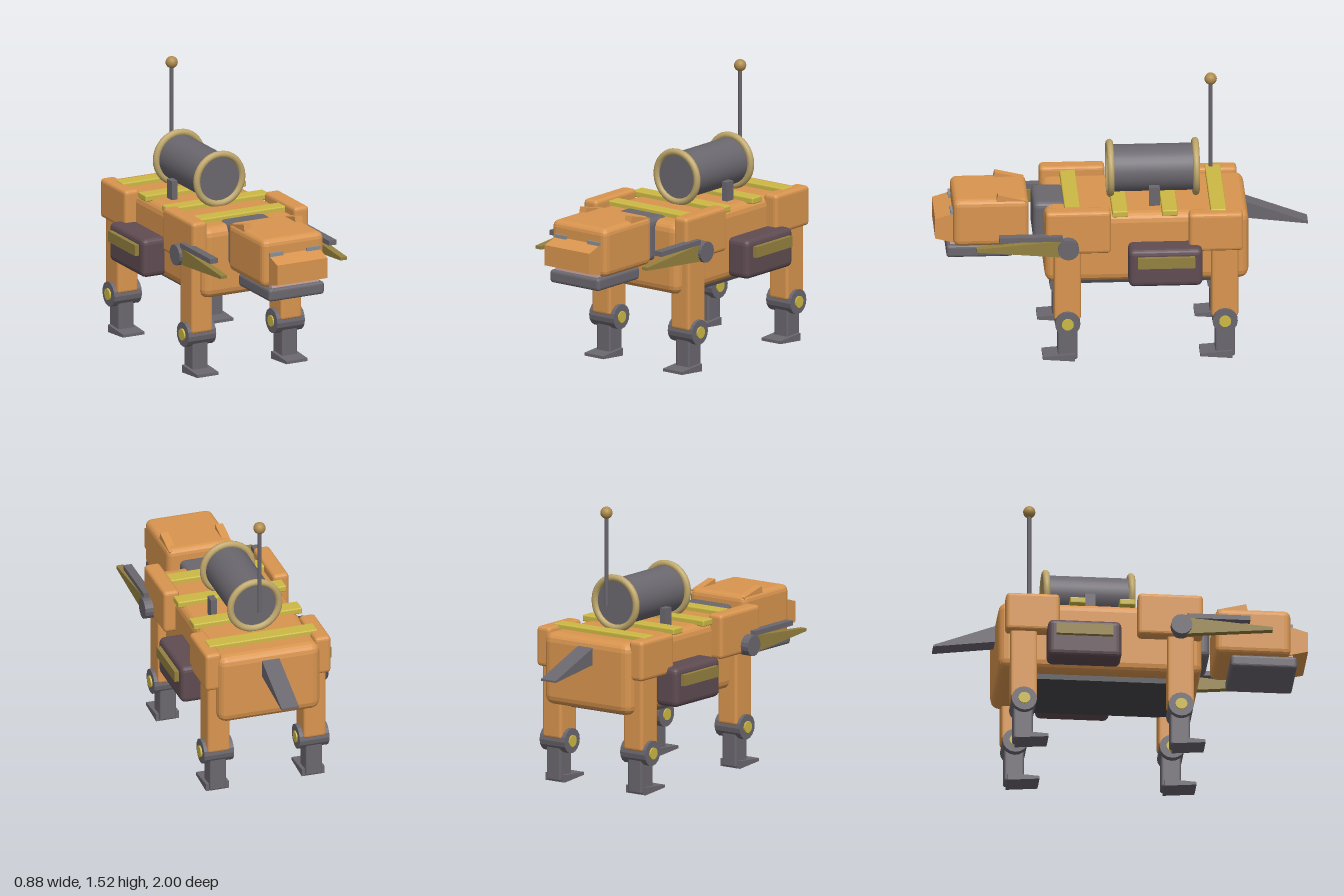
import * as THREE from 'three';
import { RoundedBoxGeometry } from 'three/addons/geometries/RoundedBoxGeometry.js';

const mat = (color, flatShading = false) => new THREE.MeshStandardMaterial({ color, flatShading });
const ORANGE = mat(0xd9954f, true), GREY = mat(0x6a676e, true), DARK = mat(0x48474c, true);
const YELLOW = mat(0xcdb945, true), KHAKI = mat(0x94803f, true), BAG = mat(0x5f4c52, true);
const PINK = mat(0xd0a8a0, true), EYE = mat(0x8a9096, true);
const DRUM = mat(0x6a676e), RING = mat(0xbfa76c), BRASS = mat(0xb08c4e);

export function createModel() {
  const model = new THREE.Group();

  const add = (name, geometry, material, parent = model) => {
    const mesh = new THREE.Mesh(geometry, material);
    mesh.name = name;
    parent.add(mesh);
    return mesh;
  };

  // Box given by its extents; r > 0 bevels the edges
  const box = (name, material, [x0, x1], [y0, y1], [z0, z1], r = 0, parent = model) => {
    const size = [x1 - x0, y1 - y0, z1 - z0];
    const geo = r ? new RoundedBoxGeometry(...size, 2, r) : new THREE.BoxGeometry(...size);
    geo.translate((x0 + x1) / 2, (y0 + y1) / 2, (z0 + z1) / 2);
    return add(name, geo, material, parent);
  };

  // Box whose height range changes from back (z0) to front (z1)
  const wedge = (name, material, [x0, x1], [z0, back], [z1, front], parent = model) => {
    const geo = new THREE.BoxGeometry(x1 - x0, 1, 1);
    const p = geo.attributes.position;
    for (let i = 0; i < p.count; i++) {
      const isFront = p.getZ(i) > 0;
      const [lo, hi] = isFront ? front : back;
      p.setXYZ(i, p.getX(i) + (x0 + x1) / 2, p.getY(i) > 0 ? hi : lo, isFront ? z1 : z0);
    }
    geo.computeVertexNormals();
    return add(name, geo, material, parent);
  };

  // Cylinder lying along x
  const axle = (name, material, r, [x0, x1], y, z, parent = model) => {
    const geo = new THREE.CylinderGeometry(r, r, x1 - x0, 16);
    geo.rotateZ(Math.PI / 2).translate((x0 + x1) / 2, y, z);
    return add(name, geo, material, parent);
  };

  // Torso
  box('body', ORANGE, [-0.288, 0.288], [0.435, 0.83], [-0.67, 0.42], 0.05);
  box('bellyPlate', DARK, [-0.215, 0.215], [0.405, 0.46], [-0.52, 0.27]);
  for (const z of [-0.508, -0.248, 0.018, 0.27])
    box('backStrap', YELLOW, [-0.305, 0.305], [0.82, 0.855], [z - 0.042, z + 0.042], 0.007);
  wedge('tail', GREY, [-0.049, 0.049], [-1, [0.65, 0.66]], [-0.64, [0.695, 0.795]]);

  // Neck and head
  box('neck', GREY, [-0.137, 0.137], [0.61, 0.84], [0.3, 0.475], 0.03);
  box('head', ORANGE, [-0.187, 0.187], [0.615, 0.882], [0.5, 0.905], 0.035);
  wedge('snout', ORANGE, [-0.152, 0.152], [0.86, [0.62, 0.81]], [1, [0.655, 0.767]]);
  box('gum', PINK, [-0.142, 0.142], [0.61, 0.638], [0.66, 0.92]);
  box('jaw', GREY, [-0.168, 0.168], [0.547, 0.617], [0.585, 0.94], 0.016);

  // Drum on the back with end rings
  const drum = new THREE.CylinderGeometry(0.126, 0.126, 0.46, 32);
  add('drum', drum.rotateX(Math.PI / 2), DRUM).position.set(0, 0.978, -0.17);
  for (const z of [0.058, -0.4])
    add('drumRing', new THREE.TorusGeometry(0.137, 0.019, 10, 32), RING).position.set(0, 0.978, z);

  // Antenna
  add('antennaRod', new THREE.CylinderGeometry(0.011, 0.011, 0.49, 10), DRUM).position.set(0, 1.222, -0.482);
  add('antennaBall', new THREE.SphereGeometry(0.033, 16, 12), BRASS).position.set(0, 1.485, -0.482);

  // Mirrored side parts, built for the left (+x) and reflected in x
  for (const [label, s] of [['left', 1], ['right', -1]]) {
    const side = new THREE.Group();
    side.name = label + 'Side';
    side.scale.x = s;
    model.add(side);

    box('eye', EYE, [0.072, 0.152], [0.79, 0.812], [0.88, 0.918], 0, side);
    const ear = box('ear', ORANGE, [-0.022, 0.022], [-0.019, 0.019], [-0.08, 0.08], 0, side);
    ear.position.set(0.155, 0.872, 0.592);
    ear.rotation.x = -0.24;

    box('drumBracket', GREY, [0.145, 0.18], [0.8, 0.935], [-0.2, -0.143], 0, side);
    box('shoulderPanel', ORANGE, [0.263, 0.353], [0.63, 0.873], [0.07, 0.42], 0.02, side);
    box('hipPanel', ORANGE, [0.263, 0.353], [0.63, 0.848], [-0.637, -0.348], 0.02, side);

    // Saddle bag
    box('saddleBag', BAG, [0.27, 0.418], [0.457, 0.672], [-0.417, -0.022], 0.03, side);
    box('bagStripe', KHAKI, [0.4, 0.442], [0.575, 0.635], [-0.375, -0.07], 0, side);

    // Pivoting shoulder blade
    axle('bladePivot', GREY, 0.057, [0.33, 0.4], 0.675, 0.3, side);
    box('bladeBar', GREY, [0.336, 0.382], [0.72, 0.747], [0.33, 0.67], 0, side);
    wedge('blade', KHAKI, [0.344, 0.382], [0.3, [0.625, 0.725]], [0.79, [0.668, 0.685]], side);

    // Legs
    for (const [where, z] of [['front', 0.302], ['rear', -0.54]]) {
      const leg = new THREE.Group();
      leg.name = where + 'Leg';
      leg.position.z = z;
      side.add(leg);
      box('upperLeg', ORANGE, [0.207, 0.333], [0.24, 0.65], [-0.072, 0.072], 0.015, leg);
      axle('knee', GREY, 0.068, [0.185, 0.352], 0.225, 0, leg);
      axle('kneeCap', YELLOW, 0.032, [0.178, 0.361], 0.225, 0, leg);
      box('lowerLeg', GREY, [0.224, 0.317], [0.005, 0.22], [-0.055, 0.05], 0.01, leg);
      wedge('foot', GREY, [0.205, 0.334], [-0.04, [0, 0.042]], [0.132, [0.014, 0.03]], leg);
    }
  }
  return model;
}
